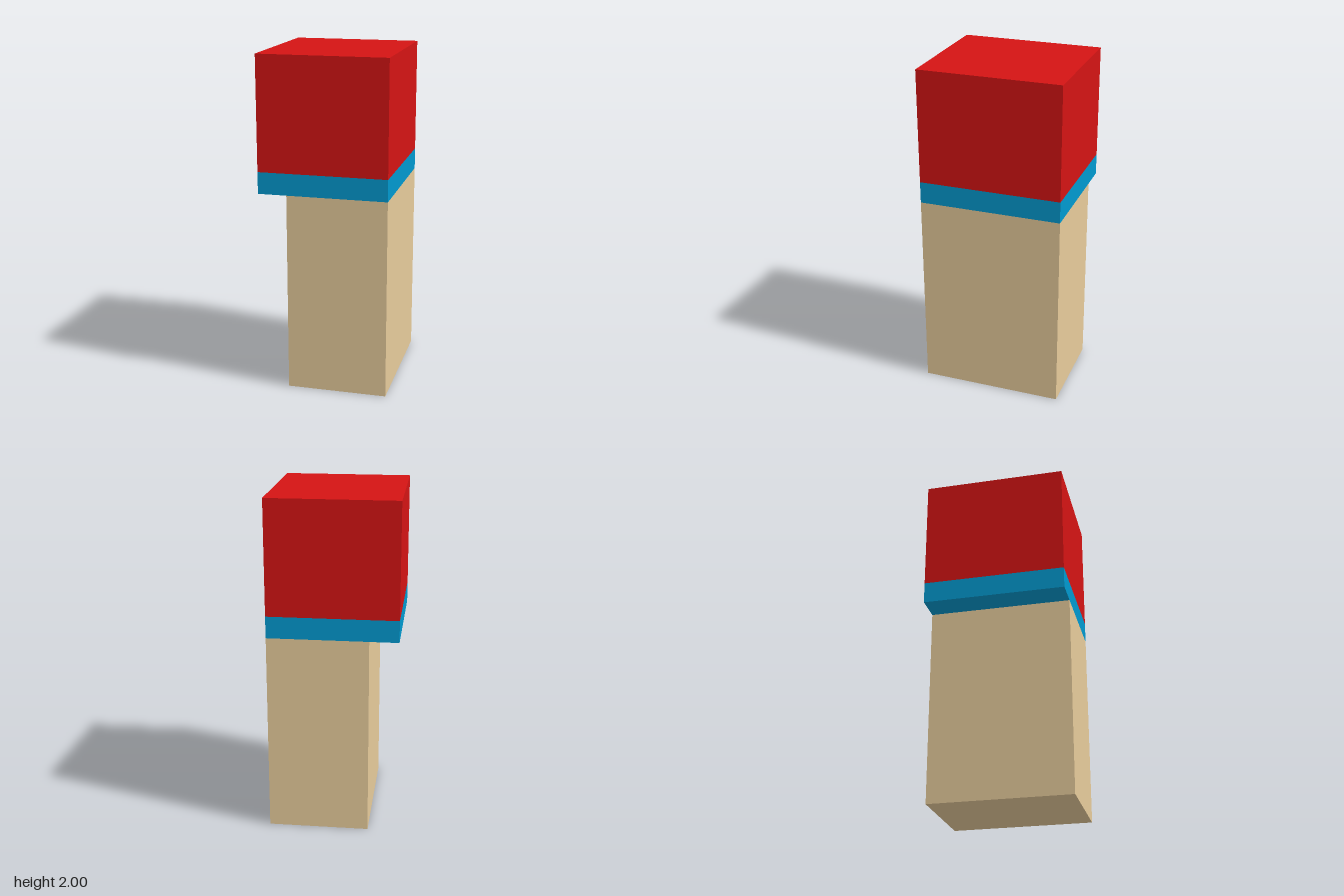
import * as THREE from 'three';

const paint = (name, color) => {
  const material = new THREE.MeshStandardMaterial({ color });
  material.name = name;
  return material;
};

// Box given by its x and y extents; every part shares the same depth.
function block(name, x0, x1, y0, y1, material) {
  const depth = 0.852;
  const mesh = new THREE.Mesh(new THREE.BoxGeometry(x1 - x0, y1 - y0, depth), material);
  mesh.position.set((x0 + x1) / 2, (y0 + y1) / 2, 0);
  mesh.name = name;
  return mesh;
}

export function createModel() {
  const model = new THREE.Group();
  model.name = 'cappedBlock';
  model.add(
    // Narrower column, flush with the cap on its left side
    block('column', -0.212, 0.383, 0, 1.193, paint('tan', 0xe6cb9b)),
    // Stripe under the cap, overhanging the column on the right
    block('band', -0.383, 0.383, 1.193, 1.322, paint('blue', 0x0099cf)),
    block('cap', -0.383, 0.383, 1.322, 2, paint('red', 0xd41414)),
  );
  return model;
}
